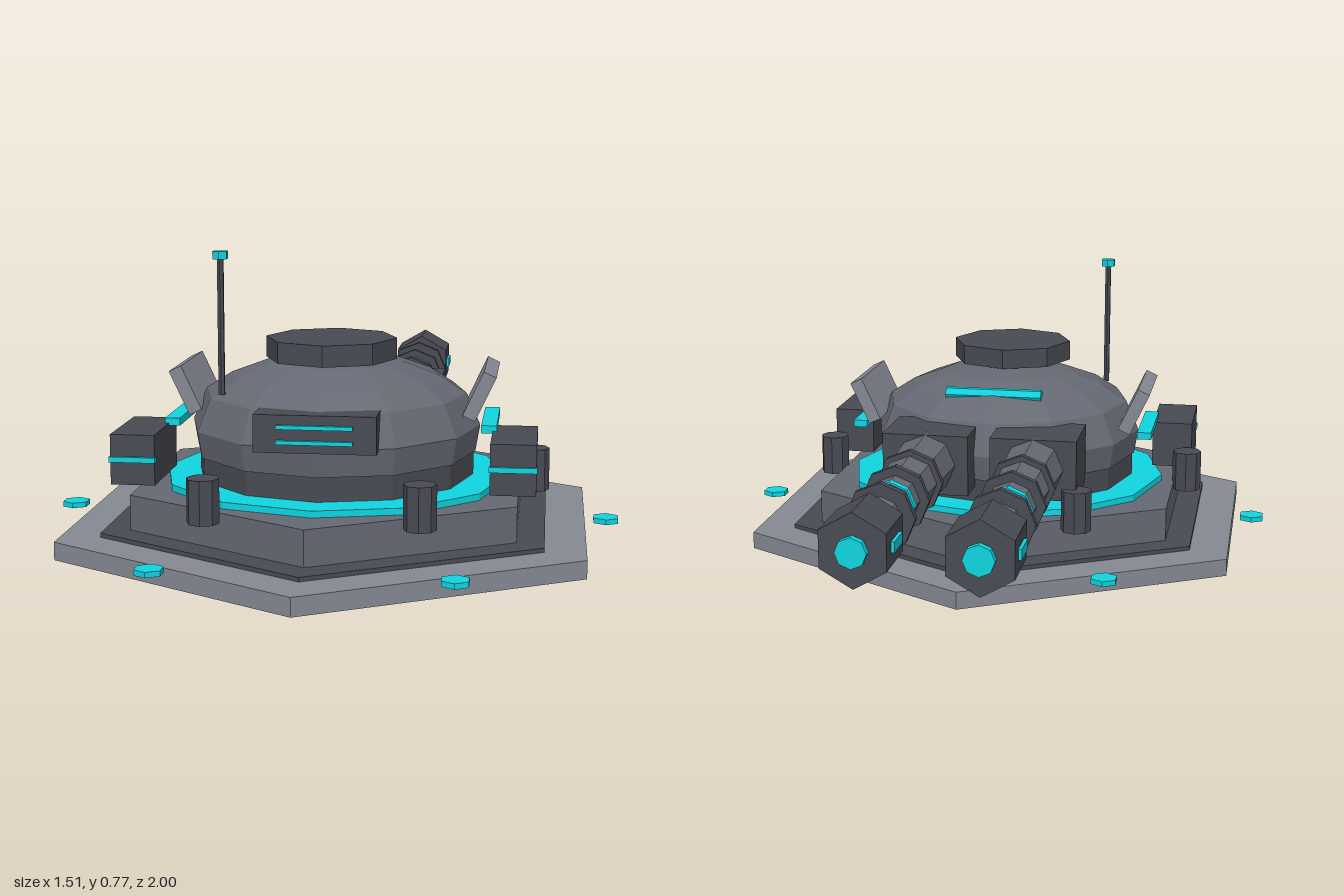
import * as THREE from 'three';

const mat = (color) => new THREE.MeshStandardMaterial({ color, flatShading: true });

export function createModel() {
  const model = new THREE.Group();
  model.name = 'gunTurret';
  const light = mat(0x858993), hull = mat(0x656973), dark = mat(0x484b53), glow = mat(0x10d4e0);
  const CZ = 0.23; // turret axis

  const add = (name, geo, material, x, y, z, parent = model) => {
    const m = new THREE.Mesh(geo, material);
    m.name = name;
    m.position.set(x, y, z);
    parent.add(m);
    return m;
  };
  const box = (name, w, h, d, material, x, y, z, parent) =>
    add(name, new THREE.BoxGeometry(w, h, d), material, x, y, z, parent);
  // upright prism between two heights
  const disc = (name, r, y0, y1, sides, material, x = 0, z = CZ) =>
    add(name, new THREE.CylinderGeometry(r, r, y1 - y0, sides), material, x, (y0 + y1) / 2, z);

  // stepped hexagonal base
  disc('basePlate', 0.77, 0, 0.047, 6, light);
  disc('baseStep', 0.65, 0.04, 0.058, 6, dark);
  disc('plinth', 0.57, 0.05, 0.15, 6, hull);
  disc('glowRing', 0.458, 0.145, 0.167, 12, glow);
  disc('turretNeck', 0.37, 0.16, 0.235, 12, dark);

  // faceted dome
  const profile = [[0, 0.23], [0.375, 0.23], [0.387, 0.3], [0.35, 0.385], [0.28, 0.43], [0.18, 0.467], [0, 0.49]]
    .map(([r, y]) => new THREE.Vector2(r, y));
  add('dome', new THREE.LatheGeometry(profile, 12), hull, 0, 0, CZ);
  disc('hatch', 0.172, 0.485, 0.54, 8, dark, 0, 0.31);

  // corner posts and floating marker lights
  for (let i = 0; i < 6; i++) {
    const a = (i * Math.PI) / 3, c = Math.cos(a), s = Math.sin(a);
    disc('cornerPost', 0.041, 0.13, 0.242, 8, dark, 0.53 * c, CZ + 0.53 * s);
    disc('markerLight', 0.037, 0.046, 0.06, 6, glow, 0.722 * c, CZ + 0.722 * s);
  }

  // vent box with two glowing slits
  box('ventBox', 0.305, 0.095, 0.13, dark, 0, 0.342, 0.56);
  for (const y of [0.322, 0.36]) box('ventSlit', 0.19, 0.01, 0.014, glow, 0, y, 0.627);

  // sensor bar and antenna
  const bar = add('sensorBar', new THREE.CylinderGeometry(0.019, 0.019, 0.27, 6), glow, 0, 0.44, 0);
  bar.rotation.z = Math.PI / 2;
  disc('antenna', 0.009, 0.4, 0.755, 6, dark, -0.27, 0.42);
  disc('antennaTip', 0.021, 0.75, 0.77, 6, glow, -0.27, 0.42);

  // cylinder lying along z, r0 at the rear, r1 toward the muzzle
  const along = (name, r0, r1, z0, z1, sides, material, parent) => {
    const m = add(name, new THREE.CylinderGeometry(r1, r0, z0 - z1, sides), material, 0, 0, (z0 + z1) / 2, parent);
    m.rotation.x = -Math.PI / 2;
    return m;
  };

  for (const side of [-1, 1]) {
    // side pod with glow strip
    box('sidePod', 0.115, 0.13, 0.245, dark, side * 0.482, 0.245, 0.405);
    box('podStrip', 0.12, 0.014, 0.018, glow, side * 0.482, 0.246, 0.526);

    // tilted armour plate and the light below it
    const plate = box('armourPlate', 0.036, 0.128, 0.27, light, side * 0.388, 0.392, 0.193);
    plate.rotation.z = -side * 0.44;
    box('sideLight', 0.04, 0.02, 0.265, glow, side * 0.415, 0.314, 0.232);

    // gun
    box('gunHousing', 0.235, 0.165, 0.2, dark, side * 0.147, 0.292, -0.132);
    const gun = new THREE.Group();
    gun.name = 'gun';
    gun.position.set(side * 0.147, 0.293, 0);
    model.add(gun);
    along('barrelSleeve', 0.084, 0.074, -0.2, -0.4, 8, hull, gun);
    along('barrel', 0.074, 0.048, -0.39, -0.83, 8, hull, gun);
    for (const z of [-0.405, -0.56, -0.715]) along('barrelRing', 0.087, 0.087, z + 0.01, z - 0.01, 8, dark, gun);
    along('barrelGlow', 0.064, 0.064, -0.61, -0.633, 8, glow, gun);
    along('muzzle', 0.092, 0.092, -0.822, -0.982, 6, dark, gun);
    along('muzzleCore', 0.038, 0.038, -0.96, -1, 8, glow, gun);
    for (const s of [-1, 1]) box('muzzleWindow', 0.018, 0.026, 0.08, glow, s * 0.079, 0, -0.9, gun);
  }
  return model;
}
